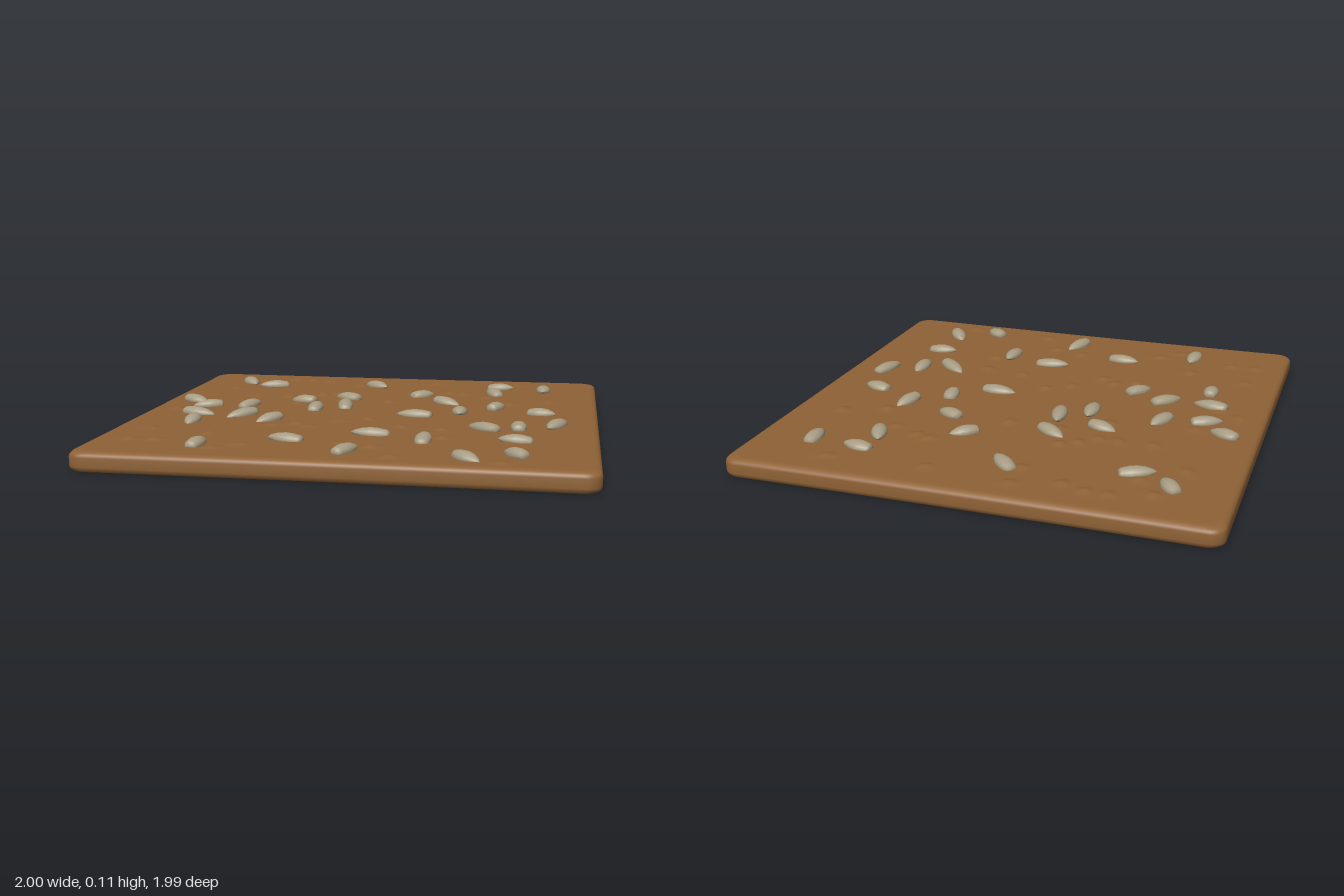
import * as THREE from 'three';

const crust = new THREE.MeshStandardMaterial({ color: 0x8f6236, side: THREE.DoubleSide });
crust.name = 'baked brown';
const husk = new THREE.MeshStandardMaterial({ color: 0xa89d84 });
husk.name = 'seed grey';

// x, z of the small blisters on the crust
const BLISTERS = [
  -.70, -.79, -.54, -.84, -.45, -.84, -.35, -.80, -.16, -.86, -.16, -.71, -.62, -.68, -.78, -.55,
  .20, -.82, .30, -.55, .36, -.53, .61, -.84, .48, -.47, -.60, -.34, -.45, -.34, -.37, -.34,
  -.30, -.40, -.23, -.44, -.18, -.28, -.37, -.16, .04, -.28, .78, -.37, .60, -.30, -.88, .06,
  -.79, .13, -.73, -.12, -.27, .31, -.20, .36, -.36, .36, -.09, .22, .02, .16, .18, .30,
  .36, .33, -.85, .72, -.74, .72, -.57, .57, -.84, .50, -.48, .83, -.39, .75, -.01, .67,
  .13, .71, .22, .87, .65, .52, .64, .90, .38, .50,
];

// x, z, heading of the pointed end in degrees, length
const SEEDS = [
  -.74, -.70, 55, .13, -.60, -.62, 160, .15, -.08, -.69, 45, .15, .535, -.72, 5, .13,
  .745, -.68, 90, .13, .51, -.57, -112, .15, .18, -.45, -42, .13, -.165, -.335, -146, .15,
  -.355, -.225, -162, .13, .315, -.275, 30, .14, .55, -.195, -72, .14, -.85, -.145, 28, .14,
  -.76, -.03, 155, .14, -.57, -.075, -70, .15, -.26, -.06, -92, .15, -.14, -.145, -100, .18,
  .395, -.05, 85, .12, .755, -.07, 15, .13, .205, .05, 185, .16, -.74, .16, 15, .16,
  -.545, .165, 130, .16, -.40, .25, 125, .14, -.715, .335, 90, .12, .525, .285, -140, .17,
  .67, .24, -92, .14, .82, .185, 110, .16, .085, .475, 178, .16, .31, .54, -90, .16,
  .67, .51, 180, .14, -.23, .635, -170, .15, -.55, .765, -85, .14, .045, .785, -70, .16,
  .51, .85, 40, .13, .68, .75, -125, .14,
];

// height of the crust, with blisters
function crustHeight(x, z) {
  let y = 0.078;
  for (let i = 0; i < BLISTERS.length; i += 2) {
    const d = Math.hypot(x - BLISTERS[i], z - BLISTERS[i + 1]) / 0.04;
    if (d < 1) y += 0.009 * (1 - d * d) ** 2;
  }
  return y;
}

// one rounded-square loop at a given inset from the rim
function loop(inset, perSide) {
  const half = 1 - inset;
  const r = Math.max(0.06 - inset, 0.06 * half);
  const flat = half - r;
  const pts = [];
  const corners = [[1, 1], [-1, 1], [-1, -1], [1, -1]];
  corners.forEach(([sx, sz], k) => {
    const arc = 8;
    for (let i = 0; i <= arc; i++) {
      const a = (k + i / arc) * Math.PI / 2;
      pts.push([sx * flat + r * Math.cos(a), sz * flat + r * Math.sin(a)]);
    }
    const [nx, nz] = corners[(k + 1) % 4];
    const a = (k + 1) * Math.PI / 2;
    for (let i = 1; i < perSide; i++) {
      const t = i / perSide;
      pts.push([
        (sx + (nx - sx) * t) * flat + r * Math.cos(a),
        (sz + (nz - sz) * t) * flat + r * Math.sin(a),
      ]);
    }
  });
  return pts;
}

// open-bottomed shell: rolled rim, walls, then loops shrinking to the centre
function crackerShell() {
  const rings = [[0.012, 0], [0.003, 0.008], [0, 0.02], [0, 0.056], [0.004, 0.066], [0.012, 0.074], [0.026, 0.078]];
  const steps = 75;
  for (let i = 1; i <= steps; i++) rings.push([0.026 + 0.974 * i / steps, null]);
  const pos = [], index = [];
  let n = 0;
  rings.forEach(([inset, h], j) => {
    const pts = loop(Math.min(inset, 0.9999), 90);
    n = pts.length;
    pts.forEach(([x, z], i) => {
      // edges bow in slightly at the front and back
      const bow = 0.008 * (1 - x * x) * z * z * z;
      pos.push(x, h === null ? crustHeight(x, z) : h, z * 0.995 - bow);
      if (j + 1 < rings.length) {
        const a = j * n + i, b = j * n + (i + 1) % n;
        index.push(a, a + n, b, b, a + n, b + n);
      }
    });
  });
  const g = new THREE.BufferGeometry();
  g.setAttribute('position', new THREE.Float32BufferAttribute(pos, 3));
  g.setIndex(index);
  g.computeVertexNormals();
  return g;
}

// unit-length seed along +x: blunt tail, fat middle, pointed tip
function seedGeometry() {
  const profile = [[0, -.5], [.13, -.49], [.19, -.42], [.235, -.2], [.24, 0], [.19, .22], [.1, .4], [0, .5]];
  const g = new THREE.LatheGeometry(profile.map(([r, y]) => new THREE.Vector2(r, y)), 12);
  return g.rotateZ(-Math.PI / 2);
}

export function createModel() {
  const model = new THREE.Group();
  model.name = 'seededCracker';

  const shell = new THREE.Mesh(crackerShell(), crust);
  shell.name = 'crackerBase';
  model.add(shell);

  // seeds sunk halfway into the crust, poking out below it too
  const seeds = new THREE.Group();
  seeds.name = 'seeds';
  const geometry = seedGeometry();
  for (let i = 0; i < SEEDS.length; i += 4) {
    const [x, z, heading, length] = SEEDS.slice(i, i + 4);
    const seed = new THREE.Mesh(geometry, husk);
    seed.name = 'seed';
    seed.position.set(x, 0.082, z);
    seed.rotation.set(0, -heading * Math.PI / 180, 0.08 * Math.sin(i * 1.7));
    seed.scale.set(length, 0.11, 0.145);
    seeds.add(seed);
  }
  model.add(seeds);
  return model;
}
